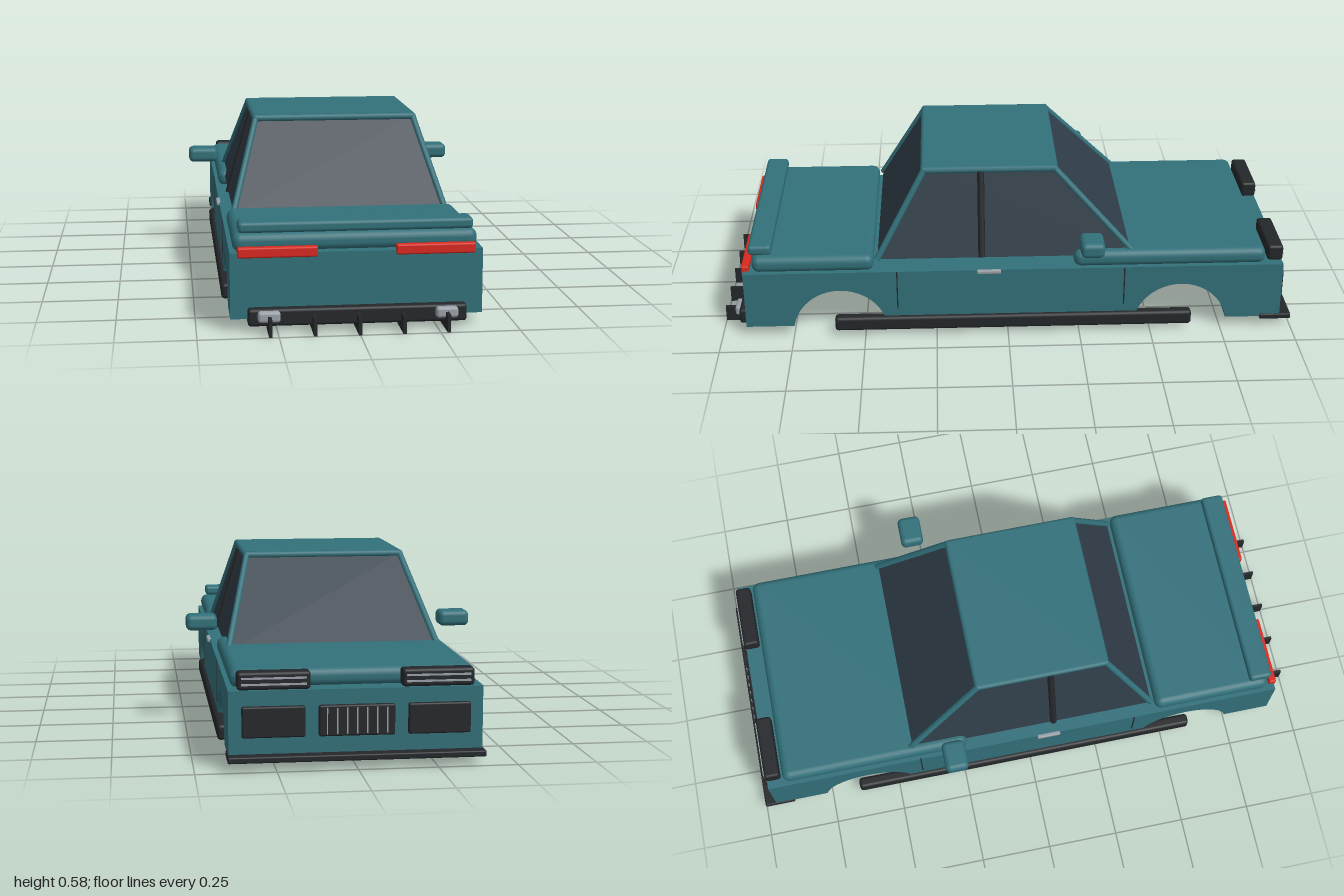
import * as THREE from 'three';
import { RoundedBoxGeometry } from 'three/addons/geometries/RoundedBoxGeometry.js';
import { ConvexGeometry } from 'three/addons/geometries/ConvexGeometry.js';

const mat = (color) => new THREE.MeshStandardMaterial({ color });

export function createModel() {
  const car = new THREE.Group();
  car.name = 'car';
  const paint = mat(0x32707a), trim = mat(0x24272a), glass = mat(0x2f3c47);
  const red = mat(0xd8281e), metal = mat(0x9aa0a8);

  function add(name, geometry, material) {
    const mesh = new THREE.Mesh(geometry, material);
    mesh.name = name;
    car.add(mesh);
    return mesh;
  }
  // Box given by its limits on each axis; r rounds the edges
  function box(name, material, [x0, x1], [y0, y1], [z0, z1], r = 0) {
    const s = [x1 - x0, y1 - y0, z1 - z0];
    const g = r ? new RoundedBoxGeometry(...s, 3, r) : new THREE.BoxGeometry(...s);
    add(name, g, material).position.set((x0 + x1) / 2, (y0 + y1) / 2, (z0 + z1) / 2);
  }
  // The same box on both sides of the car
  function pair(name, material, [x0, x1], y, z, r) {
    box(name + 'Left', material, [x0, x1], y, z, r);
    box(name + 'Right', material, [-x1, -x0], y, z, r);
  }
  // Round bar between two points
  function bar(name, material, a, b, radius) {
    const dir = b.clone().sub(a);
    const mesh = add(name, new THREE.CylinderGeometry(radius, radius, dir.length(), 10), material);
    mesh.position.copy(a).add(b).multiplyScalar(0.5);
    mesh.quaternion.setFromUnitVectors(new THREE.Vector3(0, 1, 0), dir.normalize());
  }

  // Lower body: side profile with two wheel arches, extruded across the width
  const profile = new THREE.Shape();
  const sill = 0.038, archY = 0.01, archR = 0.165;
  const lift = Math.asin((sill - archY) / archR);
  profile.moveTo(-0.96, 0.245);
  profile.lineTo(-0.96, sill);
  for (const z of [-0.605, 0.585]) profile.absarc(z, archY, archR, Math.PI - lift, lift, true);
  profile.lineTo(0.915, sill);
  profile.lineTo(0.915, 0.245);
  profile.closePath();
  const bodyGeo = new THREE.ExtrudeGeometry(profile, { depth: 0.79, bevelEnabled: false, curveSegments: 24 });
  bodyGeo.translate(0, 0, -0.395).rotateY(-Math.PI / 2);
  add('body', bodyGeo, paint);

  // Deck panels and spoiler
  box('bonnet', paint, [-0.385, 0.385], [0.24, 0.3], [-0.9, -0.23], 0.026);
  box('bootLid', paint, [-0.385, 0.385], [0.24, 0.3], [0.465, 0.885], 0.026);
  box('spoiler', paint, [-0.368, 0.368], [0.303, 0.338], [0.815, 0.895], 0.012);

  // Cabin: glass frustum framed by pillars, with a roof panel
  const corner = (sx, front, top) => top
    ? new THREE.Vector3(sx * 0.273, 0.573, front ? -0.165 : 0.285)
    : new THREE.Vector3(sx * 0.36, 0.277, front ? -0.447 : 0.452);
  const corners = [];
  for (const sx of [-1, 1]) for (const front of [true, false]) {
    const low = corner(sx, front, false), high = corner(sx, front, true);
    corners.push(low, high);
    bar('pillar', paint, low, high, 0.011);
    const cap = add('roofCorner', new THREE.SphereGeometry(0.012, 10, 8), paint);
    cap.position.copy(high);
  }
  add('windows', new ConvexGeometry(corners), glass);
  for (const s of [-1, 1]) {
    bar('roofSideRail', paint, corner(s, true, true), corner(s, false, true), 0.012);
    bar('roofCrossRail', paint, corner(-1, s > 0, true), corner(1, s > 0, true), 0.012);
    bar('doorPillar', trim, new THREE.Vector3(s * 0.36, 0.279, 0.09),
      new THREE.Vector3(s * 0.276, 0.568, 0.09), 0.012);
  }
  box('roof', paint, [-0.273, 0.273], [0.563, 0.585], [-0.165, 0.285]);

  // Sides: skirts, mirrors, handles and door seams
  pair('skirt', trim, [0.37, 0.41], [0.02, 0.072], [-0.645, 0.605], 0.012);
  pair('mirror', paint, [0.387, 0.494], [0.331, 0.385], [-0.325, -0.243], 0.018);
  pair('doorHandle', metal, [0.39, 0.404], [0.233, 0.247], [0.025, 0.108], 0.004);
  for (const z of [-0.405, 0.385]) pair('doorSeam', trim, [0.39, 0.397], [0.1, 0.245], [z - 0.002, z + 0.002]);

  // Nose: raised lamps, grilles and splitter
  pair('headlamp', trim, [0.142, 0.368], [0.246, 0.302], [-0.962, -0.908], 0.01);
  for (const y of [0.264, 0.283]) pair('lampStrip', metal, [0.155, 0.355], [y - 0.003, y + 0.003], [-0.966, -0.955]);
  pair('sideGrille', trim, [0.16, 0.355], [0.1, 0.197], [-0.974, -0.95], 0.006);
  box('centreGrille', trim, [-0.118, 0.118], [0.1, 0.197], [-0.974, -0.95], 0.006);
  for (let i = -3; i <= 3; i++) {
    box('grilleSlat', metal, [i * 0.031 - 0.002, i * 0.031 + 0.002], [0.108, 0.189], [-0.978, -0.965]);
  }
  box('splitter', trim, [-0.4, 0.4], [0.028, 0.048], [-1, -0.89], 0.005);

  // Tail: lamps, bumper, exhausts and diffuser fins
  pair('tailLamp', red, [0.122, 0.372], [0.231, 0.264], [0.895, 0.922], 0.006);
  box('rearBumper', trim, [-0.342, 0.342], [0.02, 0.075], [0.88, 0.945], 0.01);
  pair('exhaust', metal, [0.242, 0.312], [0.035, 0.07], [0.91, 0.963], 0.01);
  for (let i = -2; i <= 2; i++) {
    const x = i * 0.138;
    box('diffuserFin', trim, [x - 0.005, x + 0.005], [0, 0.056], [0.875, 1]);
  }
  return car;
}
